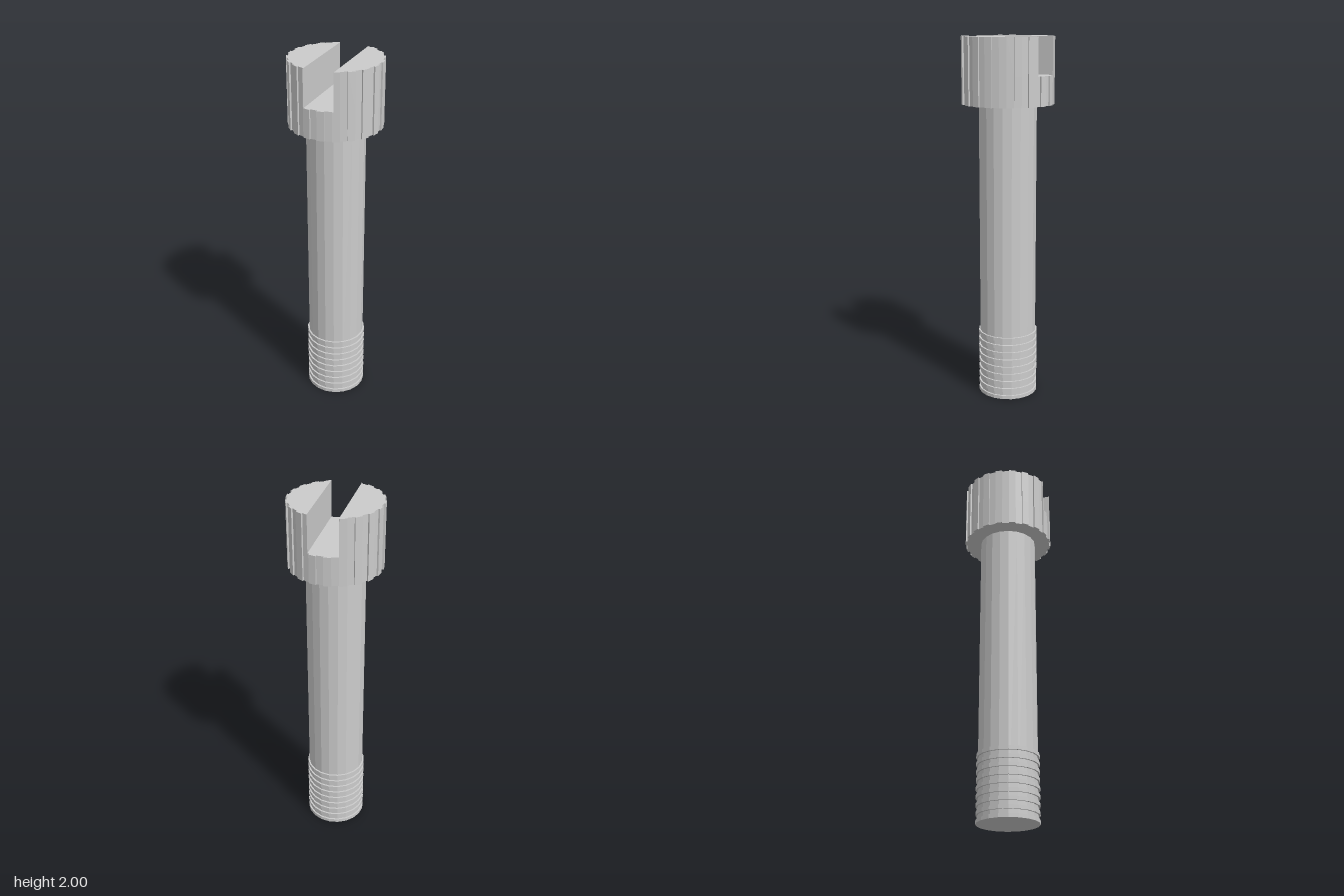
import * as THREE from 'three';

const TEETH = 20, SIDES = 20;
const HEAD_BOTTOM = 1.645, SLOT_FLOOR = 1.8, TOP = 2;
const SLOT_MIN = -0.074, SLOT_MAX = 0.085;

// Square-toothed outline of the knurled head
function knurlOutline() {
  const points = [];
  const step = Math.PI * 2 / TEETH;
  const add = (r, a) => points.push(new THREE.Vector2(r * Math.sin(a), r * Math.cos(a)));
  for (let i = 0; i < TEETH; i++) {
    const a = i * step;
    add(0.249, a - step / 2);
    add(0.249, a);
    add(0.24, a);
    add(0.24, a + step / 2);
  }
  return points;
}

// Keep the part of an outline on one side of x = limit
function clipX(points, limit, side) {
  const out = [];
  points.forEach((p, i) => {
    const q = points[(i + 1) % points.length];
    const dp = (p.x - limit) * side, dq = (q.x - limit) * side;
    if (dp >= 0) out.push(p);
    if (dp * dq < 0) out.push(p.clone().lerp(q, dp / (dp - dq)));
  });
  return out;
}

export function createModel() {
  const model = new THREE.Group();
  const material = new THREE.MeshStandardMaterial({ color: 0xcccccc, flatShading: true });

  const addMesh = (name, geometry, y, parent = model) => {
    const mesh = new THREE.Mesh(geometry, material);
    mesh.name = name;
    mesh.position.y = y;
    parent.add(mesh);
  };
  const slab = (points, depth) =>
    new THREE.ExtrudeGeometry(new THREE.Shape(points), { depth, bevelEnabled: false })
      .rotateX(-Math.PI / 2);

  // Head: full base with two jaws either side of the screwdriver slot
  const head = new THREE.Group();
  head.name = 'head';
  model.add(head);
  const outline = knurlOutline();
  addMesh('headBase', slab(outline, SLOT_FLOOR - HEAD_BOTTOM), HEAD_BOTTOM, head);
  addMesh('rightJaw', slab(clipX(outline, SLOT_MIN, -1), TOP - SLOT_FLOOR), SLOT_FLOOR, head);
  addMesh('leftJaw', slab(clipX(outline, SLOT_MAX, 1), TOP - SLOT_FLOOR), SLOT_FLOOR, head);

  // Shank
  addMesh('shank', new THREE.CylinderGeometry(0.157, 0.157, HEAD_BOTTOM - 0.005, SIDES),
    (HEAD_BOTTOM + 0.005) / 2);

  // Thread: evenly stacked raised rings
  const thread = new THREE.Group();
  thread.name = 'thread';
  model.add(thread);
  const ring = new THREE.CylinderGeometry(0.166, 0.166, 0.02, SIDES);
  for (let i = 0; i < 9; i++) addMesh('threadRing', ring, 0.01 + i * 0.0432, thread);

  return model;
}
